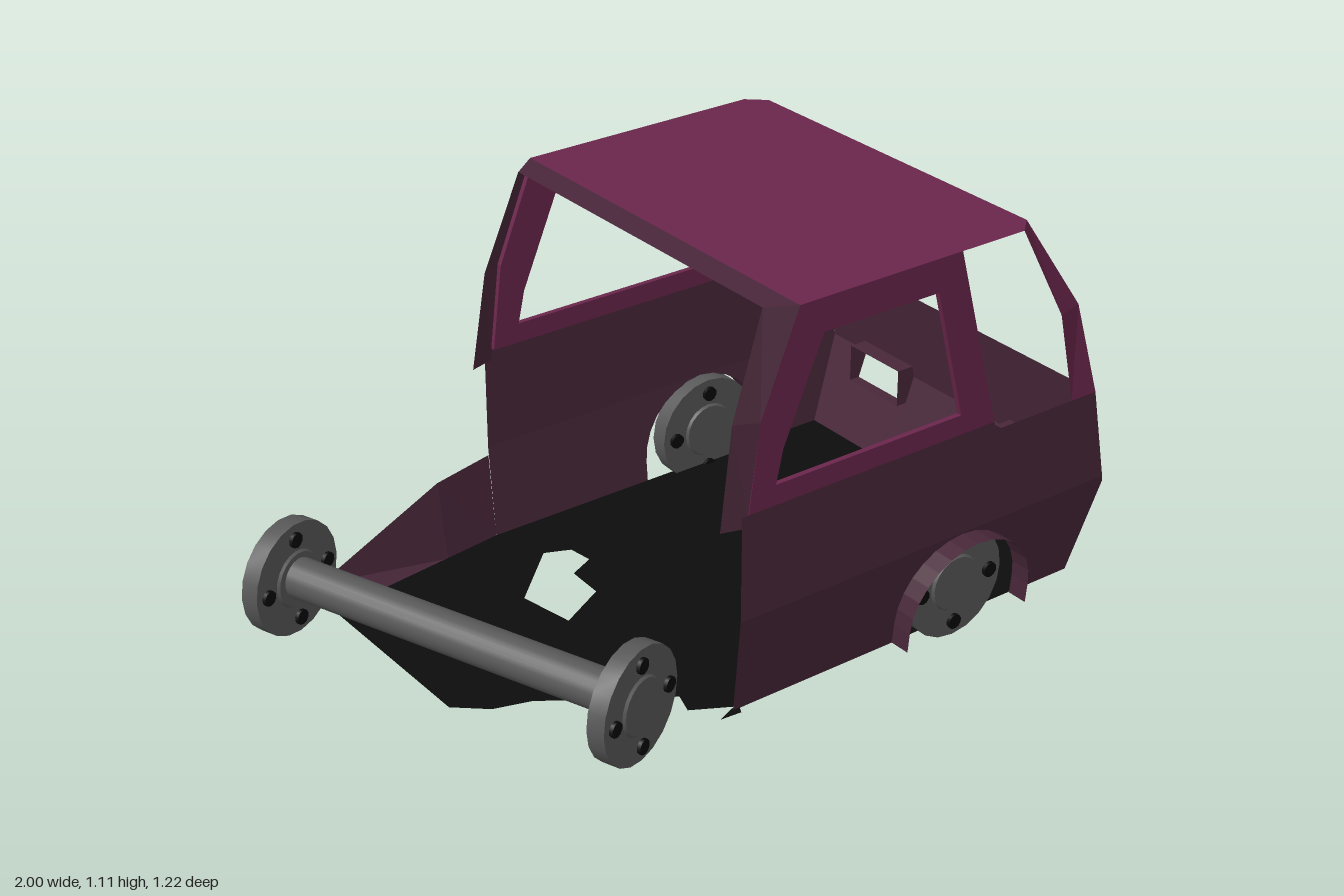
import * as THREE from 'three';
import { toCreasedNormals } from 'three/addons/utils/BufferGeometryUtils.js';

const paint = (name, color) => new THREE.MeshStandardMaterial({ name, color, side: THREE.DoubleSide });

export function createModel() {
  const plum = paint('bright plum', 0x6a264b);
  const dark = paint('dark plum', 0x482739);
  const black = paint('black floor', 0x0c0c0c);
  const grey = paint('wheel grey', 0x585858);
  const boltBlack = paint('bolt black', 0x080808);

  const model = new THREE.Group();
  model.name = 'wreckedCar';

  function add(name, geo, mat, parent = model) {
    const mesh = new THREE.Mesh(geo, mat);
    mesh.name = name;
    parent.add(mesh);
    return mesh;
  }

  // Sheet of flat quads between two rows of points
  function strip(name, mat, a, b) {
    const pos = [];
    for (let i = 0; i < a.length - 1; i++) {
      for (const p of [a[i], b[i], b[i + 1], a[i], b[i + 1], a[i + 1]]) pos.push(...p);
    }
    const geo = new THREE.BufferGeometry();
    geo.setAttribute('position', new THREE.Float32BufferAttribute(pos, 3));
    geo.computeVertexNormals();
    return add(name, geo, mat);
  }
  const shapeOf = (pts) => new THREE.Shape(pts.map(([x, y]) => new THREE.Vector2(x, y)));
  const lerp = THREE.MathUtils.lerp;

  // Body section rules: half width and nose position at a height
  const CREASE = 0.315;
  const halfWidth = (y) => (y < CREASE ? lerp(0.525, 0.55, (y - 0.05) / (CREASE - 0.05)) : 0.55);
  const noseX = (y) => (y < 0.3 ? lerp(0.91, 1, (y - 0.05) / 0.25) : lerp(1, 0.945, (y - 0.3) / 0.28));

  // Wheel arch outline, left to right
  const arch = [[0.302, 0.05]];
  for (let i = 0; i <= 14; i++) {
    const t = Math.PI * (1 - i / 14);
    arch.push([0.505 + 0.203 * Math.cos(t), 0.108 + 0.203 * Math.sin(t)]);
  }
  arch.push([0.708, 0.05]);

  for (const s of [1, -1]) {
    const side = s > 0 ? 'left' : 'right';

    // Lower side: straight upper panel and tapering sill with the arch cut out
    const upper = new THREE.ShapeGeometry(shapeOf([
      [-0.21, CREASE], [noseX(CREASE), CREASE], [0.945, 0.58], [0.6, 0.58], [0.59, 0.605], [-0.21, 0.605]]));
    upper.translate(0, 0, 0.55 * s);
    add(side + 'LowerSide', upper, dark);
    const sill = new THREE.ShapeGeometry(shapeOf([
      [-0.21, 0.05], ...arch, [0.91, 0.05], [1, 0.3], [noseX(CREASE), CREASE], [-0.21, CREASE]]));
    const p = sill.attributes.position;
    for (let i = 0; i < p.count; i++) p.setZ(i, s * halfWidth(p.getY(i)));
    sill.computeVertexNormals();
    add(side + 'Sill', sill, dark);

    // Flared lip around the wheel arch
    strip(side + 'ArchFlare', dark,
      arch.map(([x, y]) => [x, y, s * halfWidth(y)]),
      arch.map(([x, y]) => [x, y, s * (halfWidth(y) + 0.06)]));

    // Door frame with its window opening
    const frame = shapeOf([[-0.19, 0.605], [0.59, 0.605], [0.45, 1.11], [-0.05, 1.11], [-0.16, 0.84]]);
    frame.holes.push(new THREE.Path([[0.025, 1.02], [0.38, 1.02], [0.475, 0.66], [-0.11, 0.66], [-0.09, 0.75]]
      .map(([x, y]) => new THREE.Vector2(x, y))));
    const frameGeo = new THREE.ExtrudeGeometry(frame, { depth: 0.015, bevelEnabled: false });
    frameGeo.translate(0, 0, s > 0 ? 0.535 : -0.55);
    add(side + 'DoorFrame', frameGeo, plum);

    // Chamfered rear pillar
    strip(side + 'RearPillar', dark,
      [[-0.19, 0.57, 0.55 * s], [-0.16, 0.84, 0.55 * s], [-0.05, 1.11, 0.55 * s]],
      [[-0.26, 0.57, 0.53 * s], [-0.22, 0.84, 0.52 * s], [-0.12, 1.105, 0.5 * s]]);

    // Chamfered windscreen pillar and the screen surround beside it
    const edge = [[0.945, 0.58, 0.55 * s], [0.88, 0.84, 0.528 * s], [0.7, 1.11, 0.505 * s]];
    strip(side + 'FrontPillar', plum,
      [[0.86, 0.58, 0.55 * s], [0.8, 0.84, 0.55 * s], [0.65, 1.11, 0.55 * s]], edge);
    strip(side + 'ScreenSurround', dark, edge, edge.map(([x, y, z]) => [x, y, z - 0.035 * s]));
  }

  // Windscreen header
  strip('screenHeader', dark,
    [[0.7, 1.11, -0.505], [0.7, 1.11, 0.505]], [[0.713, 1.09, -0.505], [0.713, 1.09, 0.505]]);

  // Roof and its dark rear edge
  strip('roof', plum,
    [[-0.05, 1.11, 0.55], [0.65, 1.11, 0.55], [0.7, 1.11, 0.505]],
    [[-0.05, 1.11, -0.55], [0.65, 1.11, -0.55], [0.7, 1.11, -0.505]]);
  strip('roofRearEdge', dark,
    [[-0.05, 1.11, 0.55], [-0.12, 1.105, 0.5]], [[-0.05, 1.11, -0.55], [-0.12, 1.105, -0.5]]);

  // Nose: grid of panels leaving the two lamp openings
  const rows = [0.05, 0.225, 0.3, 0.335, 0.58];
  const cols = [-1, -0.405, -0.2, 0.2, 0.405, 1];
  const nosePoint = (c, y) => [noseX(y), y, Math.abs(c) === 1 ? c * halfWidth(y) : c];
  for (let c = 0; c < 5; c++) {
    for (let r = 0; r < 4; r++) {
      if (c % 2 === 1 && (r === 1 || r === 2)) continue;
      strip('nosePanel', dark,
        [nosePoint(cols[c], rows[r]), nosePoint(cols[c], rows[r + 1])],
        [nosePoint(cols[c + 1], rows[r]), nosePoint(cols[c + 1], rows[r + 1])]);
    }
  }

  // Lamp recesses
  for (const s of [1, -1]) {
    const loop = [[0.2, 0.225], [0.405, 0.225], [0.405, 0.3], [0.405, 0.335], [0.2, 0.335], [0.2, 0.3], [0.2, 0.225]];
    strip('lampRecess', dark,
      loop.map(([z, y]) => [noseX(y), y, z * s]), loop.map(([z, y]) => [0.94, y, z * s]));
  }

  // Torn floor with a hole, drawn in x and z
  const floor = shapeOf([
    [0.91, -0.525], [-0.21, -0.525], [-0.76, -0.45], [-0.76, 0.1], [-0.68, 0.17], [-0.58, 0.2], [-0.41, 0.32],
    [-0.28, 0.4], [-0.3, 0.46], [-0.2, 0.515], [-0.26, 0.54], [-0.2, 0.545], [-0.19, 0.525], [0.91, 0.525]]);
  floor.holes.push(new THREE.Path([[-0.33, -0.21], [-0.16, -0.37], [-0.09, -0.34], [-0.08, -0.27],
    [-0.155, -0.235], [-0.16, -0.125], [-0.3, -0.05]].map(([x, z]) => new THREE.Vector2(x, z))));
  const floorGeo = new THREE.ShapeGeometry(floor);
  floorGeo.rotateX(Math.PI / 2);
  floorGeo.translate(0, 0.052, 0);
  add('floor', floorGeo, black);

  // Torn rear side wall
  strip('tornRearSide', dark,
    [[-0.21, 0.05, -0.525], [-0.38, 0.05, -0.502], [-0.76, 0.05, -0.45]],
    [[-0.21, 0.29, -0.55], [-0.38, 0.265, -0.54], [-0.76, 0.1, -0.52]]);

  // Wheel: flanged disc, flush cap on one face and a hollow hub on the other
  const profile = [[0, 0], [0.055, 0], [0.055, -0.04], [0.078, -0.04], [0.078, -0.025], [0.157, -0.025],
    [0.157, 0.025], [0.08, 0.025], [0.075, 0.032], [0, 0.032]].map(([x, y]) => new THREE.Vector2(x, y));
  const wheelGeo = toCreasedNormals(new THREE.LatheGeometry(profile, 20), 0.6);
  wheelGeo.rotateX(Math.PI / 2);
  const boltGeo = new THREE.CylinderGeometry(0.021, 0.021, 0.07, 10);
  boltGeo.rotateX(Math.PI / 2);

  function wheel(name, x, z, yaw) {
    const g = new THREE.Group();
    g.name = name;
    g.position.set(x, 0.158, z);
    g.rotation.y = yaw;
    add('rim', wheelGeo, grey, g);
    for (let i = 0; i < 4; i++) {
      const a = i * Math.PI / 2;
      add('bolt', boltGeo, boltBlack, g).position.set(0.115 * Math.cos(a), 0.115 * Math.sin(a), 0);
    }
    model.add(g);
  }
  const yaw = Math.atan2(0.365, 1);
  wheel('frontLeftWheel', 0.505, 0.505, 0);
  wheel('frontRightWheel', 0.505, -0.535, 0);
  wheel('rearLeftWheel', -0.48, 0.48, yaw);
  wheel('rearRightWheel', -0.845, -0.52, yaw);

  // Skewed rear axle
  const axleGeo = new THREE.CylinderGeometry(0.055, 0.055, 1.05, 20);
  axleGeo.rotateX(Math.PI / 2);
  const axle = add('rearAxle', axleGeo, grey);
  axle.position.set(-0.6625, 0.163, -0.02);
  axle.rotation.y = yaw;

  return model;
}
